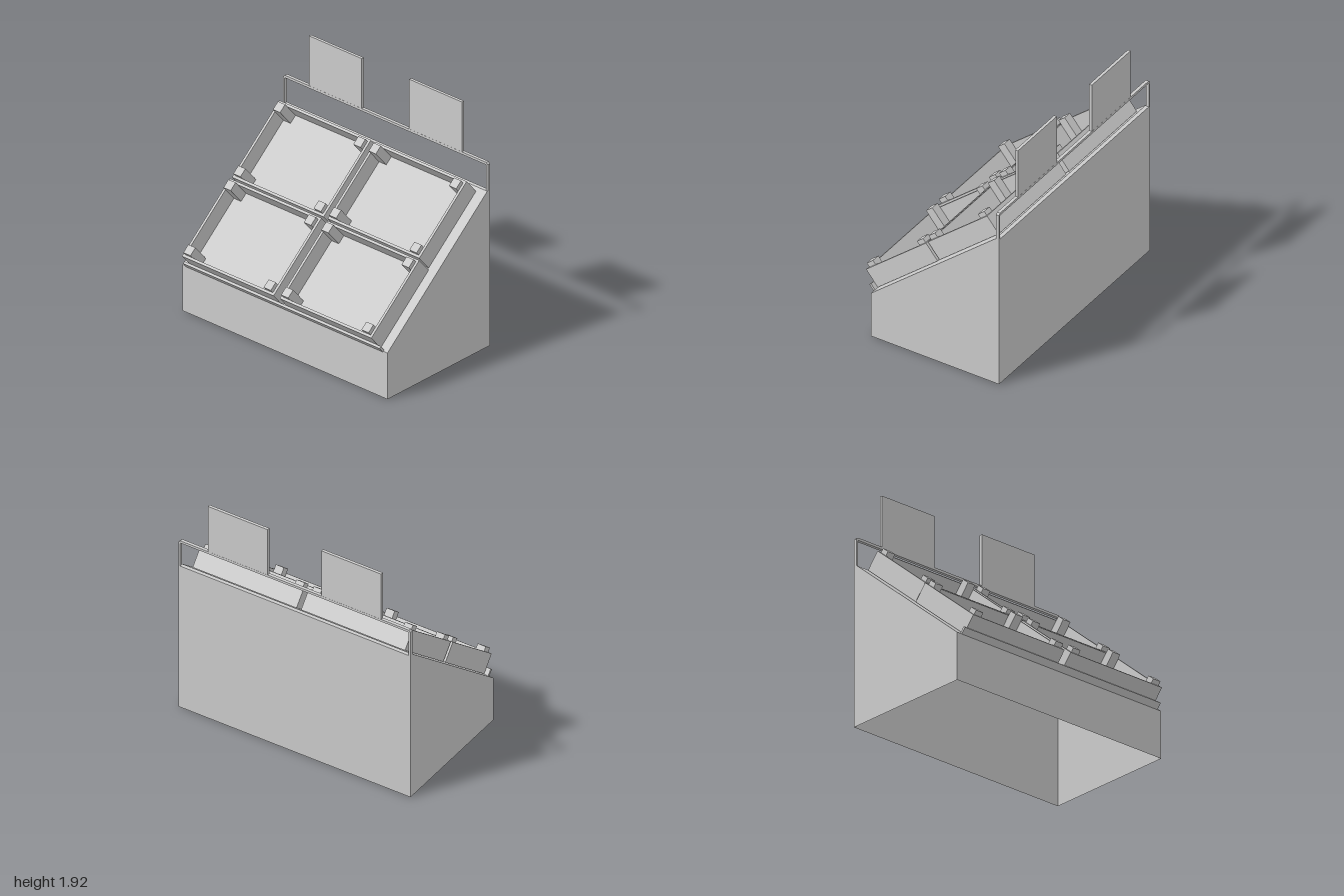
import * as THREE from 'three';

const material = new THREE.MeshStandardMaterial({ color: 0xcccccc, flatShading: true });
const shellMaterial = new THREE.MeshStandardMaterial({ color: 0xcccccc, flatShading: true, side: THREE.DoubleSide });

function add(parent, name, geometry, mat = material) {
  const mesh = new THREE.Mesh(geometry, mat);
  mesh.name = name;
  parent.add(mesh);
  return mesh;
}

// Box given by its minimum and maximum on each axis
function box(parent, name, x0, x1, y0, y1, z0, z1) {
  const mesh = add(parent, name, new THREE.BoxGeometry(x1 - x0, y1 - y0, z1 - z0));
  mesh.position.set((x0 + x1) / 2, (y0 + y1) / 2, (z0 + z1) / 2);
  return mesh;
}

// Hollow wedge cabinet, open underneath: walls follow a side profile of [z, y]
function makeCabinet() {
  const cabinet = new THREE.Group();
  cabinet.name = 'cabinet';
  const profile = [[0.505, 0], [0.505, 0.38], [-0.57, 1.28], [-0.6, 1.28], [-0.6, 0]];
  const positions = [];
  for (let i = 0; i < profile.length - 1; i++) {
    const [z0, y0] = profile[i];
    const [z1, y1] = profile[i + 1];
    positions.push(-1, y0, z0, 1, y0, z0, 1, y1, z1, -1, y0, z0, 1, y1, z1, -1, y1, z1);
  }
  const walls = new THREE.BufferGeometry();
  walls.setAttribute('position', new THREE.Float32BufferAttribute(positions, 3));
  walls.computeVertexNormals();
  add(cabinet, 'cabinetWalls', walls, shellMaterial);

  const side = new THREE.Shape(profile.map(([z, y]) => new THREE.Vector2(-z, y)));
  for (const s of [-1, 1]) {
    const panel = add(cabinet, 'sidePanel', new THREE.ShapeGeometry(side), shellMaterial);
    panel.rotation.y = Math.PI / 2;
    panel.position.x = s;
  }
  return cabinet;
}

// Open crate with a thin floor, four walls and a corner post in each corner
function makeCrate(width, length) {
  const crate = new THREE.Group();
  crate.name = 'crate';
  const w = width / 2, l = length / 2, t = 0.02, h = 0.16, post = 0.07;
  box(crate, 'crateFloor', -w, w, 0.003, t, -l, l);
  for (const s of [-1, 1]) {
    const sideWall = box(crate, 'crateSideWall', w - t, w, t, h, -l, l);
    sideWall.position.x *= s;
    const endWall = box(crate, 'crateEndWall', -w + t, w - t, t, h, l - t, l);
    endWall.position.z *= s;
    for (const e of [-1, 1]) {
      const corner = box(crate, 'cornerPost', w - t - post, w - t, t, 0.195, l - t - post, l - t);
      corner.position.x *= s;
      corner.position.z *= e;
    }
  }
  return crate;
}

// Bent rod frame with clipped upper corners
function makeFrame() {
  const outline = [
    [-1, 1.28], [-0.985, 1.28], [-0.985, 1.485], [-0.98, 1.49], [0.98, 1.49], [0.985, 1.485],
    [0.985, 1.28], [1, 1.28], [1, 1.495], [0.985, 1.51], [-0.985, 1.51], [-1, 1.495],
  ];
  const shape = new THREE.Shape(outline.map(([x, y]) => new THREE.Vector2(x, y)));
  const geometry = new THREE.ExtrudeGeometry(shape, { depth: 0.025, bevelEnabled: false });
  geometry.translate(0, 0, -0.6);
  return geometry;
}

export function createModel() {
  const model = new THREE.Group();
  model.name = 'displayStand';
  model.add(makeCabinet());

  // Everything on the slope: local y is its normal, local -z runs uphill
  const slope = new THREE.Group();
  slope.name = 'slopedDisplay';
  slope.position.set(0, 0.38, 0.505);
  slope.rotation.x = Math.atan2(0.9, 1.075);
  model.add(slope);
  box(slope, 'stopRail', -0.96, 0.96, 0, 0.055, -0.013, 0.006);

  // Two rows of two crates
  const rows = [
    { x: 0.4775, start: 0.015, length: 0.674 },
    { x: 0.4675, start: 0.703, length: 0.666 },
  ];
  for (const { x, start, length } of rows) {
    for (const s of [-1, 1]) {
      const crate = makeCrate(0.895, length);
      crate.position.set(s * x, 0, -start - length / 2);
      slope.add(crate);
    }
  }

  // Rear frame carrying two blank boards
  add(model, 'rearFrame', makeFrame());
  for (const s of [-1, 1]) {
    const board = box(model, 'board', 0.232, 0.747, 1.5, 1.92, -0.599, -0.576);
    board.position.x *= s;
  }
  return model;
}
